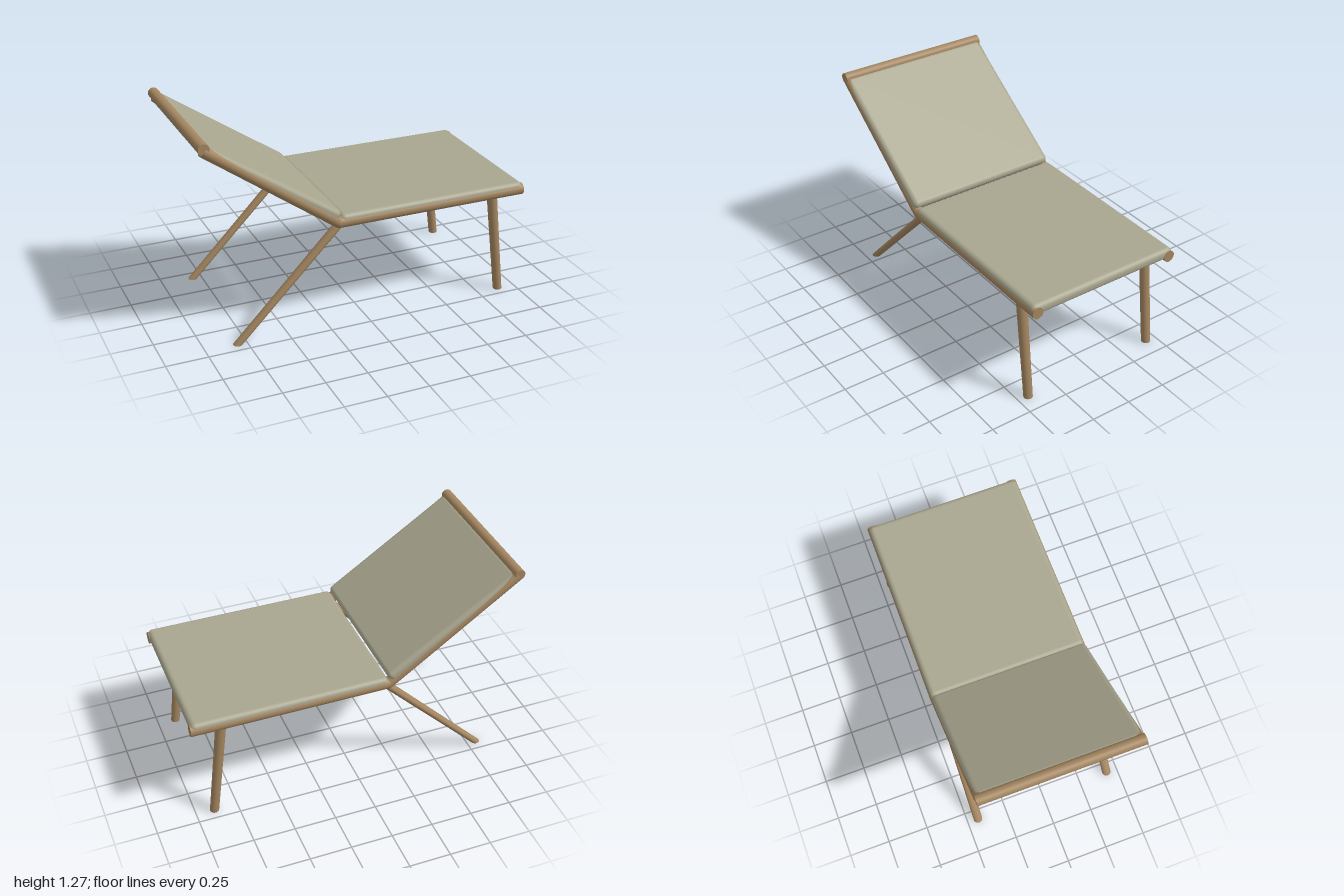
import * as THREE from 'three';
import { RoundedBoxGeometry } from 'three/addons/geometries/RoundedBoxGeometry.js';

const wood = new THREE.MeshStandardMaterial({ color: 0xa3855f });
wood.name = 'wood';
const fabric = new THREE.MeshStandardMaterial({ color: 0xa8a58e });
fabric.name = 'fabric';

// Round bar between two points
function bar(name, from, to, radius) {
  const a = new THREE.Vector3(...from), b = new THREE.Vector3(...to);
  const dir = b.clone().sub(a);
  const mesh = new THREE.Mesh(new THREE.CylinderGeometry(radius, radius, dir.length(), 32), wood);
  mesh.position.copy(a).add(b).multiplyScalar(0.5);
  mesh.quaternion.setFromUnitVectors(new THREE.Vector3(0, 1, 0), dir.normalize());
  mesh.name = name;
  return mesh;
}

// Slanted leg with a flat foot: an upright cylinder sheared along x
function leg(name, topX, footX, height, topR, footR, z) {
  const geo = new THREE.CylinderGeometry(topR, footR, height, 32);
  const shear = new THREE.Matrix4().makeShear(0, 0, (topX - footX) / height, 0, 0, 0);
  shear.set(1, (topX - footX) / height, 0, 0, 0, 1, 0, 0, 0, 0, 1, 0, 0, 0, 0, 1);
  geo.applyMatrix4(shear);
  const mesh = new THREE.Mesh(geo, wood);
  mesh.position.set((topX + footX) / 2, height / 2, z);
  mesh.name = name;
  return mesh;
}

function cushion(name, length, thickness, x, y, angle) {
  const mesh = new THREE.Mesh(new RoundedBoxGeometry(length, thickness, 0.972, 6, 0.03), fabric);
  mesh.position.set(x, y, 0);
  mesh.rotation.z = angle;
  mesh.name = name;
  return mesh;
}

export function createModel() {
  const group = new THREE.Group();
  group.name = 'loungeChair';

  // Cushions
  group.add(cushion('seatCushion', 1.18, 0.07, 0.407, 0.679, 0));
  group.add(cushion('backCushion', 0.94, 0.07, -0.58, 0.961, -0.592));

  // Frame rails and legs, mirrored front to back
  for (const [side, s] of [['front', 1], ['rear', -1]]) {
    const z = 0.457 * s;
    group.add(bar(side + 'SeatRail', [-0.19, 0.665, z], [1, 0.665, z], 0.035));
    group.add(bar(side + 'BackRail', [-0.19, 0.665, z], [-0.97, 1.225, z], 0.034));
    // Rounded joint where the seat and back rails meet
    const joint = new THREE.Mesh(new THREE.SphereGeometry(0.034, 24, 16), wood);
    joint.position.set(-0.19, 0.665, z);
    joint.name = side + 'RailJoint';
    group.add(joint);
    group.add(leg(side + 'FootLeg', 0.813, 0.889, 0.655, 0.031, 0.027, 0.433 * s));
    group.add(leg(side + 'HeadLeg', -0.165, -0.806, 0.655, 0.031, 0.027, 0.433 * s));
  }

  // Top crossbar behind the headrest
  group.add(bar('headCrossbar', [-0.968, 1.239, -0.486], [-0.968, 1.239, 0.486], 0.032));
  return group;
}
